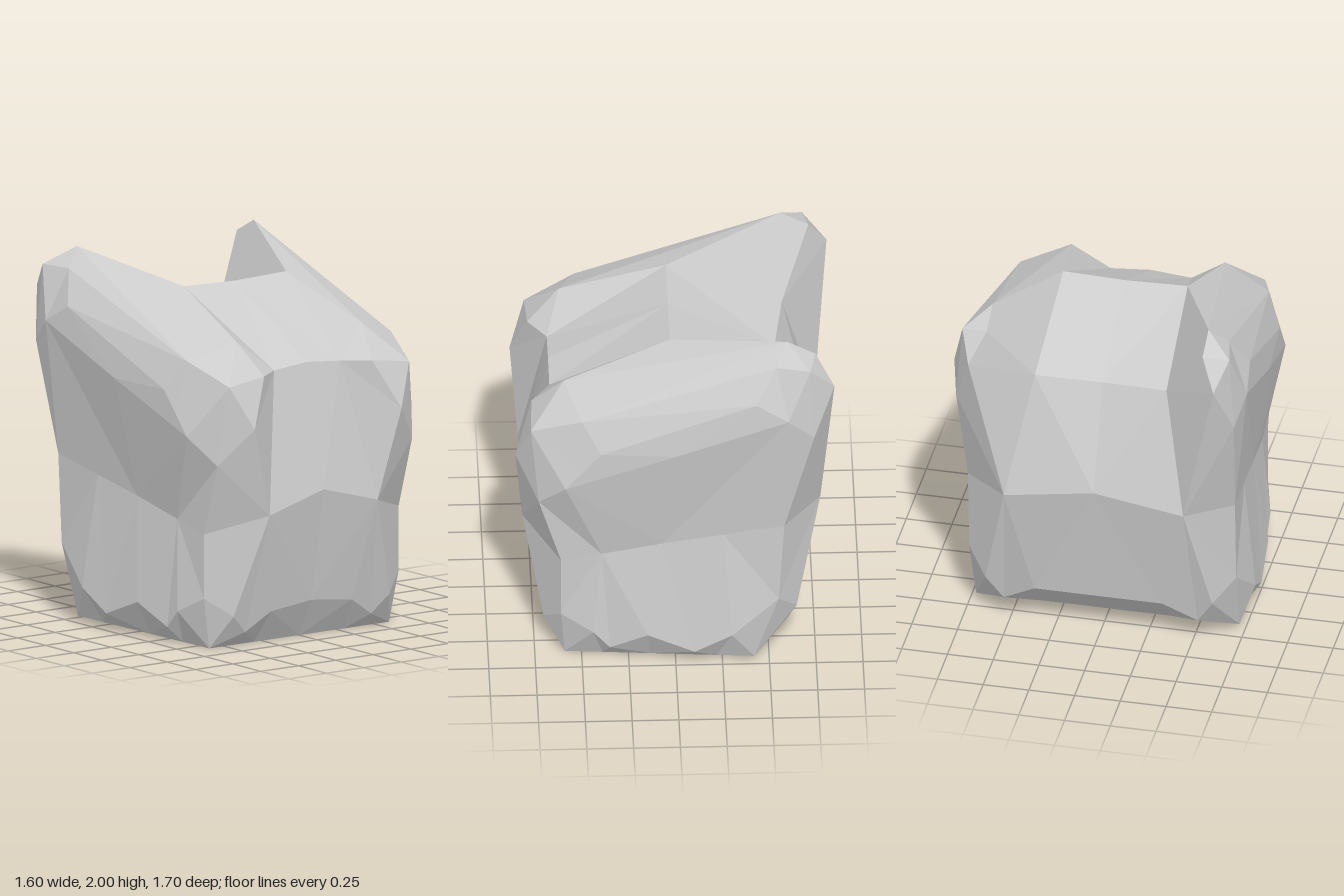
import * as THREE from 'three';

const blend = (a, b, t) => a.map((v, i) => v + (b[i] - v) * t);

// Lengthwise contours of the +x half, from the centre line out to the side.
// Each has 12 rows: front hem, up the front, over the top, down the back, rear hem.
// A corner that spans several rows or contours is simply shared between them.
function createContours() {
  // Edge of the central panel
  const front = [.36, .73, .81], saddle = [.36, 1.58, -.6], back = [.49, .91, -.78];
  const panel = [[.3, 0, .59], [.27, .18, .7], front, front, [.22, 1.48, .66], [.34, 1.85, .02],
    saddle, saddle, back, back, [.35, .26, -.66], [.35, .03, -.42]];

  // Centre line: the panel edge gently arched
  const lift = [0, .03, .1, .1, .02, -.01, -.03, -.03, .08, .08, 0, 0];
  const centre = panel.map(([, y, z], k) => [0, y + lift[k], z]);
  centre[6][2] = centre[7][2] = -.55;

  // Outer corner crease
  const corner = [[.6, 0, .59], [.65, .28, .61], [.65, .63, .61], [.65, 1.02, .73],
    [.6, 1.45, .77], [.68, 1.56, .5], [.69, 1.9, -.54], [.73, 1.9, -.72],
    [.76, 1.49, -.74], [.73, .89, -.58], [.73, .41, -.55], [.72, .03, -.42]];

  // Ridge rising to the horn, between panel and corner
  const ridge = [corner[0], [.52, .18, .7], front, [.49, 1.22, .85], [.36, 1.48, .76],
    [.42, 1.65, .59], [.59, 2, -.6], [.59, 1.92, -.75], [.67, 1.76, -.85], back,
    [.62, .29, -.65], corner[11]];

  // Notches in the front and rear skirt, beside the ridge
  const ridgeNotch = ridge.with(1, [.42, .08, .67]).with(10, [.53, .14, -.6]);

  // Upright middle of the side, where the front and rear halves meet
  const waist = [.69, .76, .07], top = [.79, 1.4, 0];
  const rise = [blend(corner[0], corner[11], .45), [.75, .2, .15], waist, waist, top, top];
  const middle = [...rise, ...rise.toReversed()];

  // Rim of the side
  const shoulder = [.75, 1.17, .59], flank = [.76, 1.4, .4], hip = [.8, 1.62, -.6];
  const rim = [blend(corner[0], corner[11], .2), [.7, .19, .44], blend(corner[2], waist, .4),
    shoulder, blend(shoulder, flank, .5), flank, [.78, 1.72, -.43], hip, hip,
    blend(corner[9], waist, .5), [.78, .21, -.3], blend(corner[0], corner[11], .8)];

  // Notches in the side skirt
  const sideNotch = rim.with(1, [.7, .09, .35]).with(10, [.77, .1, -.1]);

  return [centre, panel, ridgeNotch, ridge, corner, rim, sideNotch, middle];
}

function createShell() {
  const positions = [];
  const vec = (p) => new THREE.Vector3(...p);

  // One triangle and its mirror image; collapsed ones are skipped
  const tri = (a, b, c) => {
    const area = vec(b).sub(vec(a)).cross(vec(c).sub(vec(a))).length();
    if (area < 1e-6) return;
    positions.push(...a, ...b, ...c);
    for (const [x, y, z] of [a, c, b]) positions.push(-x, y, z);
  };

  // A four-cornered facet split along its shorter diagonal
  const quad = (a, b, c, d) => {
    if (vec(a).distanceTo(vec(c)) <= vec(b).distanceTo(vec(d))) {
      tri(a, b, c);
      tri(a, c, d);
    } else {
      tri(a, b, d);
      tri(b, c, d);
    }
  };

  // Skin neighbouring contours
  const contours = createContours();
  for (let i = 0; i < contours.length - 1; i++) {
    const p = contours[i], q = contours[i + 1];
    for (let k = 0; k < p.length - 1; k++) quad(p[k], q[k], q[k + 1], p[k + 1]);
  }

  const geometry = new THREE.BufferGeometry();
  geometry.setAttribute('position', new THREE.Float32BufferAttribute(positions, 3));
  geometry.computeVertexNormals();
  return geometry;
}

export function createModel() {
  const group = new THREE.Group();
  group.name = 'hornedShell';

  // Faceted shell, open underneath
  const material = new THREE.MeshStandardMaterial({
    color: 0xcccccc, flatShading: true, side: THREE.DoubleSide,
  });
  const shell = new THREE.Mesh(createShell(), material);
  shell.name = 'shell';
  group.add(shell);
  return group;
}
